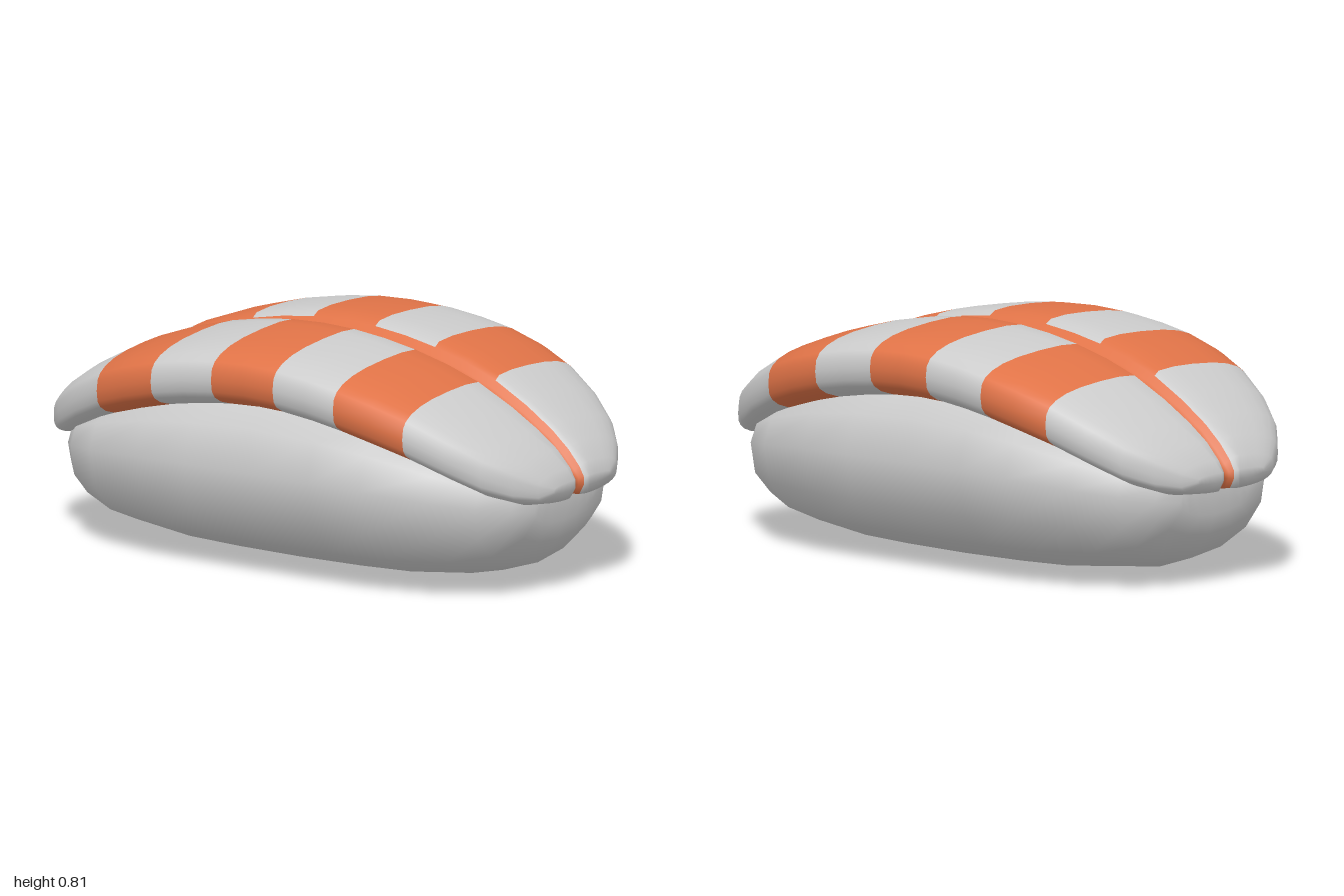
import * as THREE from 'three';

// Shared loft: rings run along x, each ring starts at the top centre and goes
// round by +z. Returns one mesh per material, all sharing the same normals.
function loft(rings, names, colors, pick) {
  const n = rings[0].length, m = n / 4, last = rings.length - 1;
  const faces = colors.map(() => []);
  const id = (i, j) => i * n + (j % n);
  for (let i = 0; i < last; i++) {
    for (let j = 0; j < n; j++) {
      const a = id(i, j), b = id(i + 1, j), c = id(i, j + 1), d = id(i + 1, j + 1);
      faces[pick(i, j)].push(a, c, b, b, c, d);
    }
  }
  // End caps, stitched straight from the top half to the bottom half
  for (const [i, flip] of [[last, false], [0, true]]) {
    for (let k = 0; k < 2 * m; k++) {
      const right = k < m, j = right ? k : k + 2 * m, s = right ? 2 * m : 6 * m;
      const a = id(i, j), b = id(i, j + 1), c = id(i, s - j - 1), d = id(i, s - j);
      const f = faces[pick(-1, j)];
      if (b !== c) flip ? f.push(a, c, b) : f.push(a, b, c);
      if (c !== d && d !== a) flip ? f.push(a, d, c) : f.push(a, c, d);
    }
  }
  const base = new THREE.BufferGeometry();
  base.setAttribute('position', new THREE.Float32BufferAttribute(rings.flat(2), 3));
  base.setIndex(faces.flat());
  base.computeVertexNormals();
  return colors.map((color, k) => {
    const geo = new THREE.BufferGeometry();
    geo.setAttribute('position', base.attributes.position);
    geo.setAttribute('normal', base.attributes.normal);
    geo.setIndex(faces[k]);
    const mesh = new THREE.Mesh(geo, new THREE.MeshStandardMaterial({ color }));
    mesh.name = names[k];
    return mesh;
  });
}

// Stations for x >= 0 mirrored to the full length
const mirrorX = (rows) => [
  ...rows.slice(1).reverse().map(([x, ...r]) => [-x, ...r]), ...rows,
];

// Half section (top centre to bottom centre) mirrored to a full ring
const mirrorZ = (half) => [
  ...half, ...half.slice(1, -1).reverse().map(([x, y, z]) => [x, y, -z]),
];

function makeRice() {
  // x, half width, top, bottom, height of widest line
  const rows = mirrorX([
    [0, 0.53, 0.66, 0, 0.375], [0.25, 0.53, 0.64, 0.003, 0.375],
    [0.45, 0.52, 0.6, 0.01, 0.37], [0.68, 0.46, 0.52, 0.035, 0.35],
    [0.82, 0.37, 0.45, 0.08, 0.33], [0.9, 0.27, 0.4, 0.17, 0.31],
    [0.925, 0.17, 0.36, 0.24, 0.3],
  ]);
  const section = [
    [0, 1], [0.4, 0.97], [0.72, 0.85], [0.92, 0.5], [1, 0],
    [0.94, -0.42], [0.735, -0.72], [0.4, -0.92], [0, -1],
  ];
  const rings = rows.map(([x, w, top, bot, mid]) => mirrorZ(section.map(([z, y]) =>
    [x, mid + y * (y > 0 ? top - mid : mid - bot), z * w])));
  return loft(rings, ['rice'], [0xcccccc], () => 0);
}

function makeTopping() {
  // x, half width, top, bottom
  const rows = mirrorX([
    [0, 0.55, 0.81, 0.56], [0.125, 0.55, 0.805, 0.555], [0.25, 0.55, 0.79, 0.54],
    [0.37, 0.55, 0.767, 0.52], [0.5, 0.535, 0.732, 0.487], [0.62, 0.505, 0.688, 0.45],
    [0.75, 0.455, 0.62, 0.395], [0.855, 0.39, 0.553, 0.345], [0.93, 0.31, 0.495, 0.322],
    [0.98, 0.23, 0.437, 0.328], [1, 0.165, 0.395, 0.362],
  ]);
  const angles = [82, 72, 58, 45, 32, 20, 10, 0].map(THREE.MathUtils.degToRad);
  const rings = rows.map(([x, w, top, bot]) => {
    const ax = Math.abs(x), mid = (top + bot) / 2, h = (top - bot) / 2;
    const g = Math.min(0.05 - 0.025 * ax * ax, w * 0.15); // groove half width
    const zs = [0, g / 2, g, g * 1.5, ...angles.map((a) => w * Math.cos(a) ** (2 / 3))];
    const point = (z, side) => {
      const dip = Math.exp(-((z / g) ** 2));
      const depth = side > 0 ? Math.min(0.055, h * 0.6) : 0.004;
      const y = h * Math.cbrt(Math.max(0, 1 - (z / w) ** 3)) - depth * dip;
      const notch = 0.03 * dip * THREE.MathUtils.smoothstep(ax, 0.85, 1);
      return [x - Math.sign(x) * notch, mid + side * y, z];
    };
    return mirrorZ([
      ...zs.map((z) => point(z, 1)),
      ...zs.slice(0, -1).reverse().map((z) => point(z, -1)),
    ]);
  });
  const n = rings[0].length;
  // Orange in the groove and in three cross bands
  const pick = (i, j) => {
    const k = j % (n / 2);
    if (k < 2 || k >= n / 2 - 2) return 1;
    if (i < 0) return 0;
    const x = Math.abs(rows[i][0] + rows[i + 1][0]) / 2;
    return x < 0.125 || (x > 0.37 && x < 0.62) ? 1 : 0;
  };
  return loft(rings, ['toppingFlesh', 'toppingStripes'], [0xcccccc, 0xe07347], pick);
}

export function createModel() {
  const model = new THREE.Group();
  model.name = 'prawnSushi';
  const topping = new THREE.Group();
  topping.name = 'topping';
  topping.add(...makeTopping());
  model.add(...makeRice(), topping);
  return model;
}
